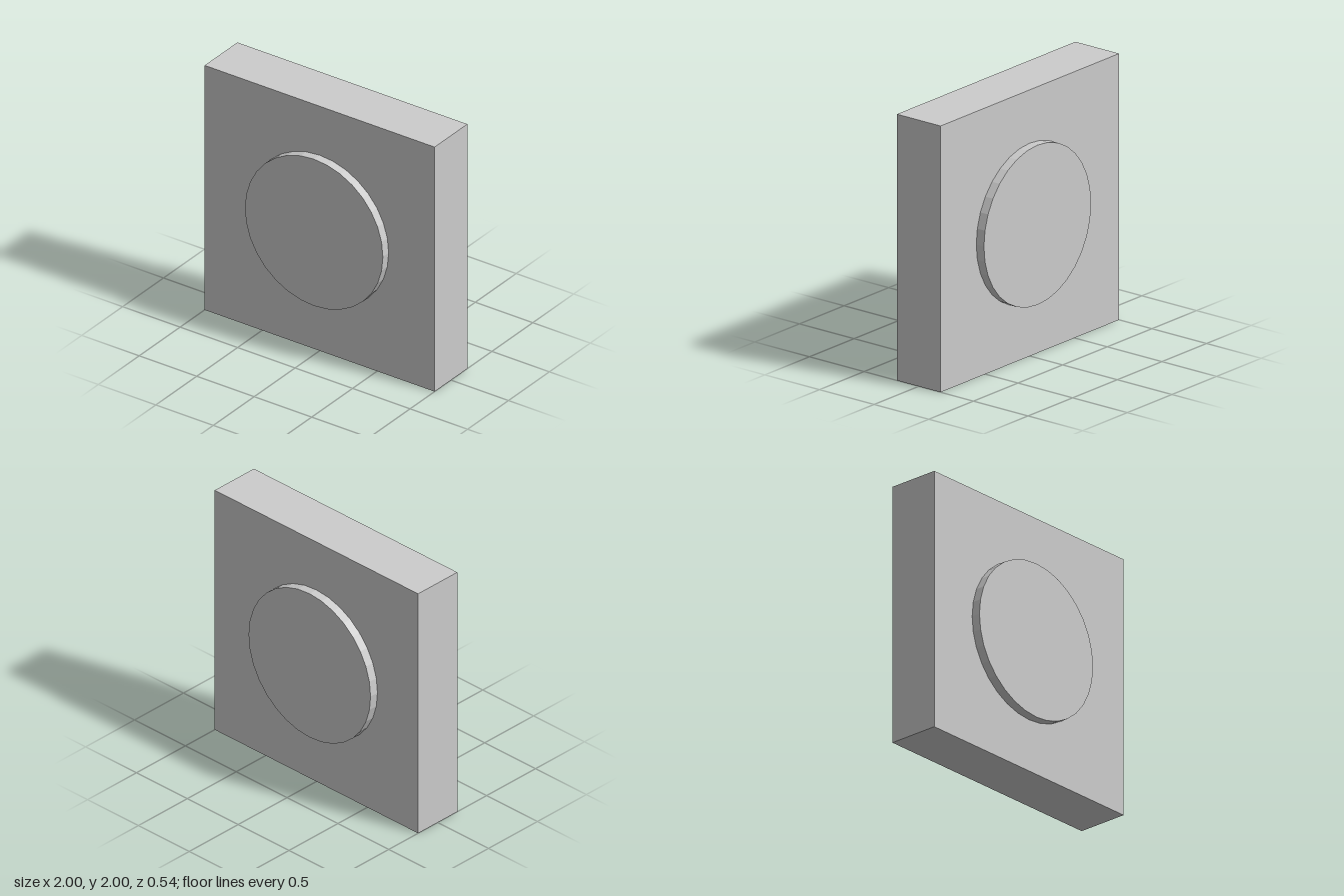
import * as THREE from 'three';

export function createModel() {
  const model = new THREE.Group();
  const material = new THREE.MeshStandardMaterial({ color: 0xcccccc, flatShading: true });

  // Square upright slab
  const slab = new THREE.Mesh(new THREE.BoxGeometry(2, 2, 0.4), material);
  slab.name = 'slab';
  slab.position.y = 1;
  model.add(slab);

  // Round disc through the slab, standing proud on both faces
  const disc = new THREE.Mesh(new THREE.CylinderGeometry(0.6, 0.6, 0.54, 32), material);
  disc.name = 'disc';
  disc.rotation.x = Math.PI / 2;
  disc.position.y = 1;
  model.add(disc);

  return model;
}
